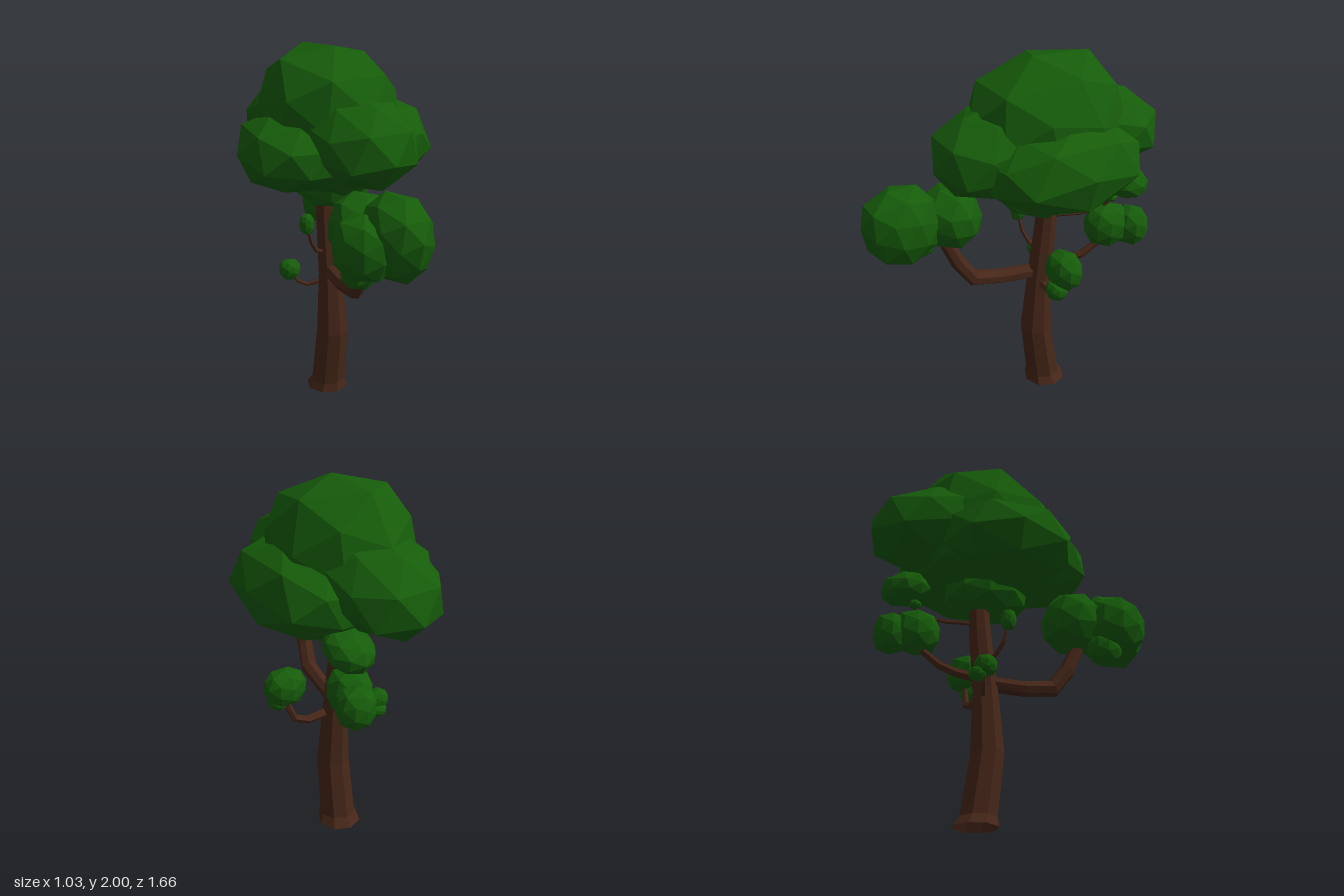
import * as THREE from 'three';
import { ConvexGeometry } from 'three/addons/geometries/ConvexGeometry.js';

const leaf = new THREE.MeshStandardMaterial({ color: 0x165c0a, flatShading: true });
const bark = new THREE.MeshStandardMaterial({ color: 0x472719, flatShading: true, side: THREE.DoubleSide });

// Unit clump: domed dodecahedron with a face centre on top, its shoulders pushed outwards
function clumpPoints() {
  const corners = new THREE.DodecahedronGeometry(1);
  const centres = new THREE.IcosahedronGeometry(1).rotateY(Math.PI / 2);
  const tip = Math.atan(2 / (1 + Math.sqrt(5)));
  const found = new Map();
  for (const geo of [corners, centres]) {
    geo.rotateX(tip);
    const pos = geo.attributes.position;
    for (let i = 0; i < pos.count; i++) {
      const p = new THREE.Vector3().fromBufferAttribute(pos, i);
      const h = Math.hypot(p.x, p.z);
      const widen = h > 0.01 ? h ** -0.35 : 1;
      p.x *= widen;
      p.z *= widen;
      found.set(p.toArray().map((n) => Math.round(n * 1000)).join(), p);
    }
  }
  // Turn the pointed side of the top face to the back
  const points = [...found.values()];
  const pointed = points.some((p) => Math.abs(p.x) < 0.01 && p.y > 0.7 && p.y < 0.9 && p.z < -0.5);
  return pointed ? points : points.map((p) => p.set(-p.x, p.y, -p.z));
}
const unitPoints = clumpPoints();

// Foliage clump, stretched, pitched about x and then headed about y
function clump(name, [x, y, z], [rx, ry, rz], pitch = 0, heading = 0) {
  const scale = new THREE.Vector3(rx, ry, rz);
  const geo = new ConvexGeometry(unitPoints.map((p) => p.clone().multiply(scale)));
  geo.rotateX(pitch);
  geo.rotateY(heading);
  const mesh = new THREE.Mesh(geo, leaf);
  mesh.name = name;
  mesh.position.set(x, y, z);
  return mesh;
}

// Crown lobe whose top points outwards and droops a little
function lobe(name, position, [width, length, height], droop, heading) {
  return clump(name, position, [width, length, height], -Math.PI / 2 - droop, heading);
}

// Tapering limb: rings of a cylinder moved along points [x, y, z, radius]
function limb(name, points, sides, level = false) {
  const rows = points.length;
  const geo = new THREE.CylinderGeometry(1, 1, 1, sides, rows - 1, true);
  const centres = points.map(([x, y, z]) => new THREE.Vector3(x, y, z));
  const up = new THREE.Vector3(0, 1, 0);
  const turns = centres.map((c, i) => {
    const dir = centres[Math.min(i + 1, rows - 1)].clone().sub(centres[Math.max(i - 1, 0)]).normalize();
    return new THREE.Quaternion().setFromUnitVectors(up, level ? up : dir);
  });
  const pos = geo.attributes.position;
  const v = new THREE.Vector3();
  for (let k = 0; k < pos.count; k++) {
    v.fromBufferAttribute(pos, k);
    const i = Math.round((v.y + 0.5) * (rows - 1));
    v.y = 0;
    v.multiplyScalar(points[i][3]).applyQuaternion(turns[i]).add(centres[i]);
    pos.setXYZ(k, v.x, v.y, v.z);
  }
  geo.computeVertexNormals();
  const mesh = new THREE.Mesh(geo, bark);
  mesh.name = name;
  return mesh;
}

export function createModel() {
  const tree = new THREE.Group();
  tree.name = 'tree';

  // Trunk with flared foot and a gentle bend
  tree.add(limb('trunk', [
    [0, 0, -0.185, 0.12], [0, 0.05, -0.17, 0.098], [0, 0.38, -0.123, 0.09],
    [0, 0.72, -0.14, 0.068], [0, 1.05, -0.177, 0.06], [0, 1.3, -0.19, 0.05],
  ], 8, true));

  // Branches
  tree.add(
    limb('frontBranch', [
      [-0.01, 0.755, -0.12, 0.042], [-0.05, 0.752, 0.06, 0.042], [-0.075, 0.778, 0.23, 0.046],
      [-0.1, 0.89, 0.31, 0.043], [-0.11, 1.08, 0.4, 0.035],
    ], 7),
    limb('backBranch', [
      [0.02, 0.79, -0.15, 0.026], [0.06, 0.81, -0.28, 0.024], [0.1, 0.85, -0.36, 0.022],
      [0.13, 0.92, -0.44, 0.019], [0.15, 1.02, -0.48, 0.015],
    ], 6),
    limb('leftBranch', [
      [0, 0.7, -0.13, 0.024], [0.17, 0.69, -0.13, 0.022], [0.245, 0.72, -0.12, 0.021],
      [0.275, 0.79, -0.11, 0.018], [0.3, 0.88, -0.1, 0.013],
    ], 6),
    limb('rightTwig', [
      [-0.03, 0.68, -0.17, 0.013], [-0.11, 0.657, -0.21, 0.012],
      [-0.16, 0.68, -0.24, 0.011], [-0.19, 0.74, -0.25, 0.008],
    ], 5),
    limb('upperRightTwig', [
      [-0.03, 0.86, -0.15, 0.013], [-0.1, 0.89, -0.13, 0.012],
      [-0.14, 0.95, -0.11, 0.011], [-0.17, 1.05, -0.1, 0.008],
    ], 5),
    limb('upperBackTwig', [
      [0.02, 1.1, -0.19, 0.012], [0.08, 1.1, -0.34, 0.011], [0.13, 1.12, -0.45, 0.01],
      [0.16, 1.19, -0.49, 0.009], [0.19, 1.27, -0.53, 0.008],
    ], 5),
  );

  // Main crown with four side lobes and an underside
  tree.add(
    clump('crownTop', [0, 1.605, -0.165], [0.37, 0.4, 0.44], 0.2),
    lobe('crownLeftLobe', [0.18, 1.485, -0.14], [0.435, 0.335, 0.24], -0.1, -Math.PI / 2),
    lobe('crownRightLobe', [-0.18, 1.47, -0.14], [0.375, 0.34, 0.21], 0, Math.PI / 2 - 0.2),
    lobe('crownFrontLobe', [0, 1.57, 0.09], [0.285, 0.39, 0.23], 0.2, Math.PI),
    lobe('crownBackLobe', [0, 1.6, -0.41], [0.285, 0.435, 0.22], 0.3, 0),
    clump('crownUnderside', [0.01, 1.27, -0.14], [0.2, 0.13, 0.24]),
  );

  // Clumps carried by the branches
  const clumps = [
    ['frontClump', [-0.1, 1.205, 0.62], [0.165, 0.21, 0.21], 0.3],
    ['frontSideClump', [-0.235, 1.16, 0.55], [0.155, 0.165, 0.175]],
    ['frontInnerClump', [-0.11, 1.18, 0.345], [0.18, 0.165, 0.17], 0.3],
    ['frontLowClump', [-0.22, 1.01, 0.48], [0.09, 0.085, 0.1]],
    ['backClump', [0.15, 1.03, -0.475], [0.115, 0.12, 0.13]],
    ['backOuterClump', [0.2, 1.015, -0.6], [0.105, 0.11, 0.095]],
    ['leftClump', [0.295, 0.925, -0.11], [0.12, 0.1, 0.09]],
    ['leftLowClump', [0.31, 0.825, -0.06], [0.062, 0.055, 0.06]],
    ['rightTwigClump', [-0.2, 0.76, -0.25], [0.062, 0.055, 0.06]],
    ['rightTwigLowClump', [-0.18, 0.715, -0.285], [0.05, 0.035, 0.045]],
    ['upperRightClump', [-0.17, 1.065, -0.1], [0.042, 0.06, 0.042]],
    ['upperBackClump', [0.2, 1.3, -0.53], [0.125, 0.085, 0.145], -0.35],
    ['upperBackTinyClump', [0.155, 1.195, -0.49], [0.035, 0.025, 0.035]],
  ];
  for (const c of clumps) tree.add(clump(...c));

  return tree;
}
